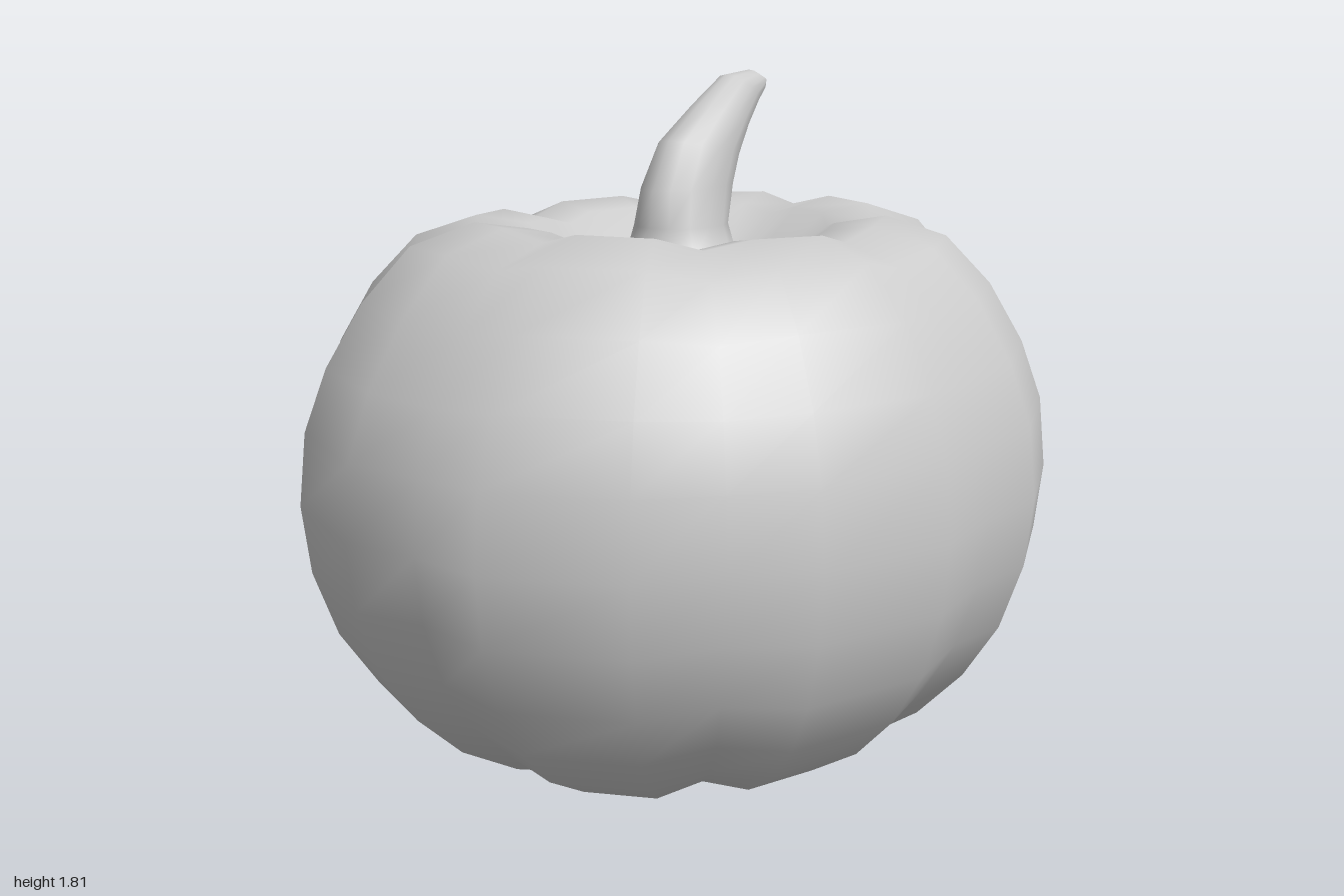
import * as THREE from 'three';
import { mergeVertices } from 'three/addons/utils/BufferGeometryUtils.js';

// Skins a stack of closed rings (listed bottom to top) with a smooth surface.
function loft(name, rings) {
  const n = rings[0].length, index = [];
  for (let i = 0; i < rings.length - 1; i++) {
    for (let j = 0; j < n; j++) {
      const a = i * n + j, b = i * n + (j + 1) % n, c = a + n, d = b + n;
      index.push(a, c, b, b, c, d);
    }
  }
  let geo = new THREE.BufferGeometry().setFromPoints(rings.flat());
  geo.setIndex(index);
  geo = mergeVertices(geo, 1e-4);
  geo.computeVertexNormals();
  const mesh = new THREE.Mesh(geo, new THREE.MeshStandardMaterial({ color: 0xcccccc }));
  mesh.name = name;
  return mesh;
}

// Ribbed gourd: eight lobes, each with two crest columns between two grooves.
function makeBody() {
  const LOBES = 8, MID = 0.8, DEPTH = 0.9;
  // radius, height, groove strength
  const profile = [
    [0, 0, 0], [0.2, 0.015, 0], [0.33, 0.05, 0],
    [0.38, 0.043, 1], [0.56, 0.108, 1], [0.725, 0.205, 1], [0.85, 0.325, 1],
    [0.945, 0.465, 1], [1.004, 0.63, 1], [1.024, 0.8, 1], [1.004, 0.98, 1],
    [0.945, 1.13, 1], [0.85, 1.28, 1], [0.725, 1.405, 1], [0.56, 1.455, 1],
    [0.42, 1.435, 0.8], [0.3, 1.335, 0], [0.2, 1.32, 0], [0.1, 1.33, 0], [0, 1.33, 0],
  ];
  const rings = profile.map(([r, y, groove]) => {
    const ring = [];
    for (let k = 0; k < LOBES; k++) {
      for (const [deg, crest] of [[0, false], [12.3, true], [32.7, true]]) {
        const t = THREE.MathUtils.degToRad(k * 45 + deg);
        const s = crest ? 1 : 1 - 0.042 * groove;
        // the lobes at the two sides ride slightly higher around the top hollow
        const lift = y > 1.4 ? 0.009 * Math.cos(2 * t) * groove : 0;
        ring.push(new THREE.Vector3(
          r * s * Math.cos(t), MID + (y - MID) * s + lift, DEPTH * r * s * Math.sin(t)));
      }
    }
    return ring;
  });
  return loft('body', rings);
}

// Curved stem: each section is set by its outer edge, inner edge and half depth.
function makeStem() {
  const SIDES = 14;
  const sections = [
    [-0.2, 1.315, 0.21, 1.315, 0.19],
    [-0.145, 1.36, 0.15, 1.36, 0.135],
    [-0.13, 1.43, 0.135, 1.43, 0.112],
    [-0.118, 1.52, 0.175, 1.53, 0.1],
    [-0.05, 1.64, 0.21, 1.59, 0.088],
    [0.08, 1.725, 0.26, 1.66, 0.07],
    [0.2, 1.797, 0.315, 1.715, 0.052],
    [0.305, 1.807, 0.355, 1.75, 0.034],
    [0.375, 1.785, 0.378, 1.772, 0.01],
    [0.38, 1.778, 0.38, 1.778, 0],
  ];
  const rings = sections.map(([ox, oy, ix, iy, hz]) =>
    Array.from({ length: SIDES }, (_, j) => {
      const t = (j / SIDES) * Math.PI * 2, u = (1 + Math.cos(t)) / 2;
      return new THREE.Vector3(ox + (ix - ox) * u, oy + (iy - oy) * u, hz * Math.sin(t));
    }));
  return loft('stem', rings);
}

export function createModel() {
  const group = new THREE.Group();
  group.name = 'pumpkin';
  group.add(makeBody(), makeStem());
  return group;
}
